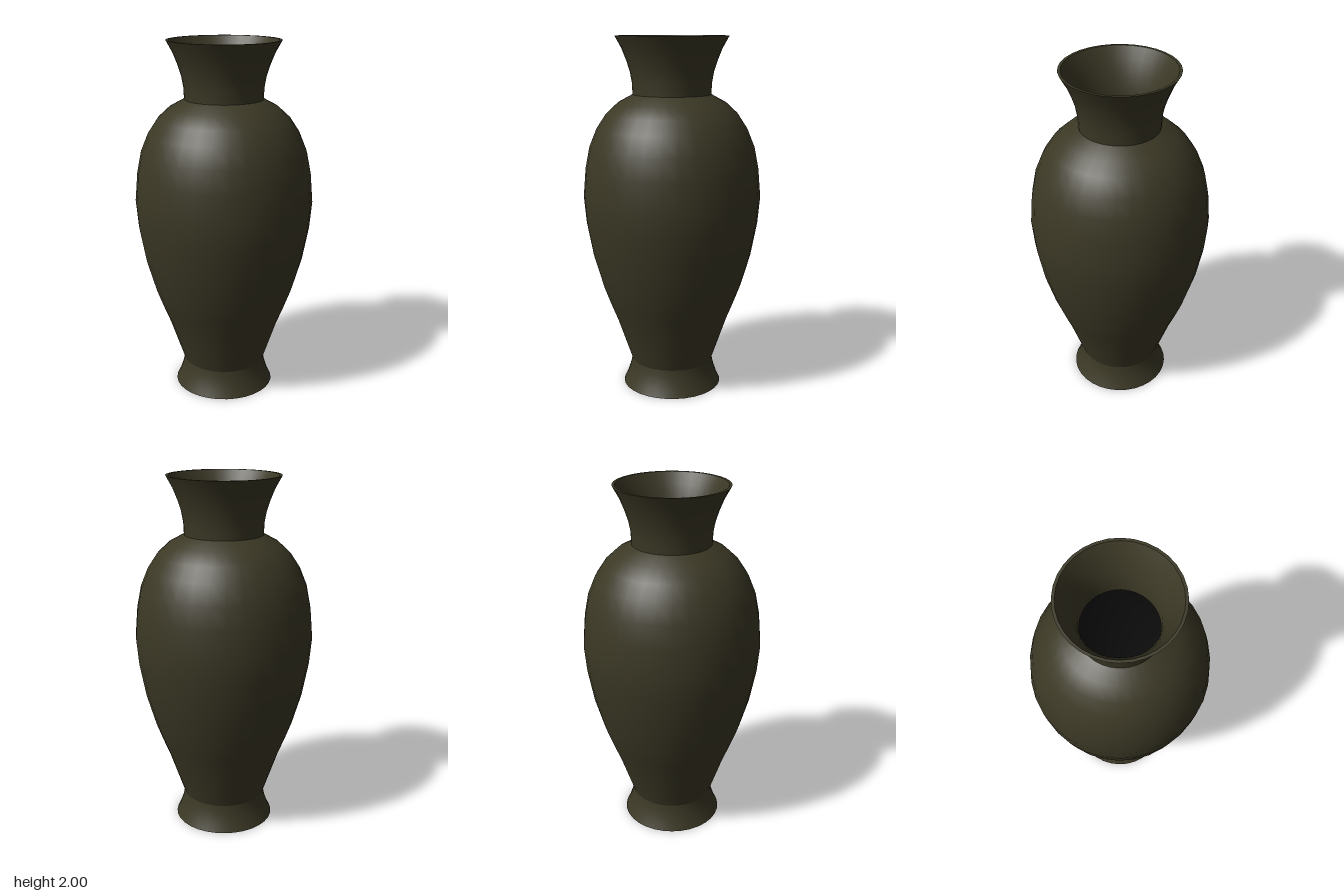
import * as THREE from 'three';

const SEGMENTS = 32;
const PHASE = 0.06;

const glaze = new THREE.MeshStandardMaterial({ color: 0x3b3825 });
glaze.name = 'dark olive glaze';
const inside = new THREE.MeshStandardMaterial({ color: 0x0c0c0c });
inside.name = 'black interior';

// Turned part from [radius, height] points; rising points face outward, falling points inward
function turned(name, profile, material) {
  const points = profile.map(([r, y]) => new THREE.Vector2(r, y));
  const mesh = new THREE.Mesh(new THREE.LatheGeometry(points, SEGMENTS, PHASE), material);
  mesh.name = name;
  return mesh;
}

// Profile moved inward by a wall thickness and reversed to face the hollow
const inner = (profile, wall) => profile.map(([r, y]) => [r - wall, y]).reverse();

export function createModel() {
  const vase = new THREE.Group();
  vase.name = 'vase';

  const foot = [[0.283, 0], [0.264, 0.04], [0.25, 0.08], [0.24, 0.115], [0.235, 0.15]];
  const body = [
    [0.235, 0.15], [0.276, 0.27], [0.32, 0.4], [0.36, 0.5], [0.397, 0.6], [0.449, 0.78],
    [0.484, 0.97], [0.497, 1.12], [0.483, 1.28], [0.459, 1.4], [0.418, 1.5],
    [0.365, 1.58], [0.3, 1.64], [0.217, 1.685],
  ];
  const neck = [[0.217, 1.68], [0.22, 1.75], [0.231, 1.81], [0.25, 1.87], [0.276, 1.935], [0.312, 2]];

  // Outer surface, with creases at the waist and the neck
  vase.add(turned('foot', foot, glaze));
  vase.add(turned('body', body, glaze));
  vase.add(turned('neck', neck, glaze));

  // Flat lip and the flared inside of the neck
  vase.add(turned('lip', [[0.312, 2], [0.297, 2]], glaze));
  vase.add(turned('neckInside', inner(neck, 0.015), glaze));

  // Dark hollow of the body with its floor
  vase.add(turned('bodyInside', inner(body, 0.015), inside));
  vase.add(turned('floor', [[0.22, 0.16], [0, 0.16]], inside));

  // Hollow underside of the foot
  vase.add(turned('footInside', inner(foot, 0.004), inside));
  vase.add(turned('footRim', [[0.279, 0], [0.283, 0]], glaze));
  vase.add(turned('footCeiling', [[0, 0.148], [0.233, 0.148]], inside));

  return vase;
}
